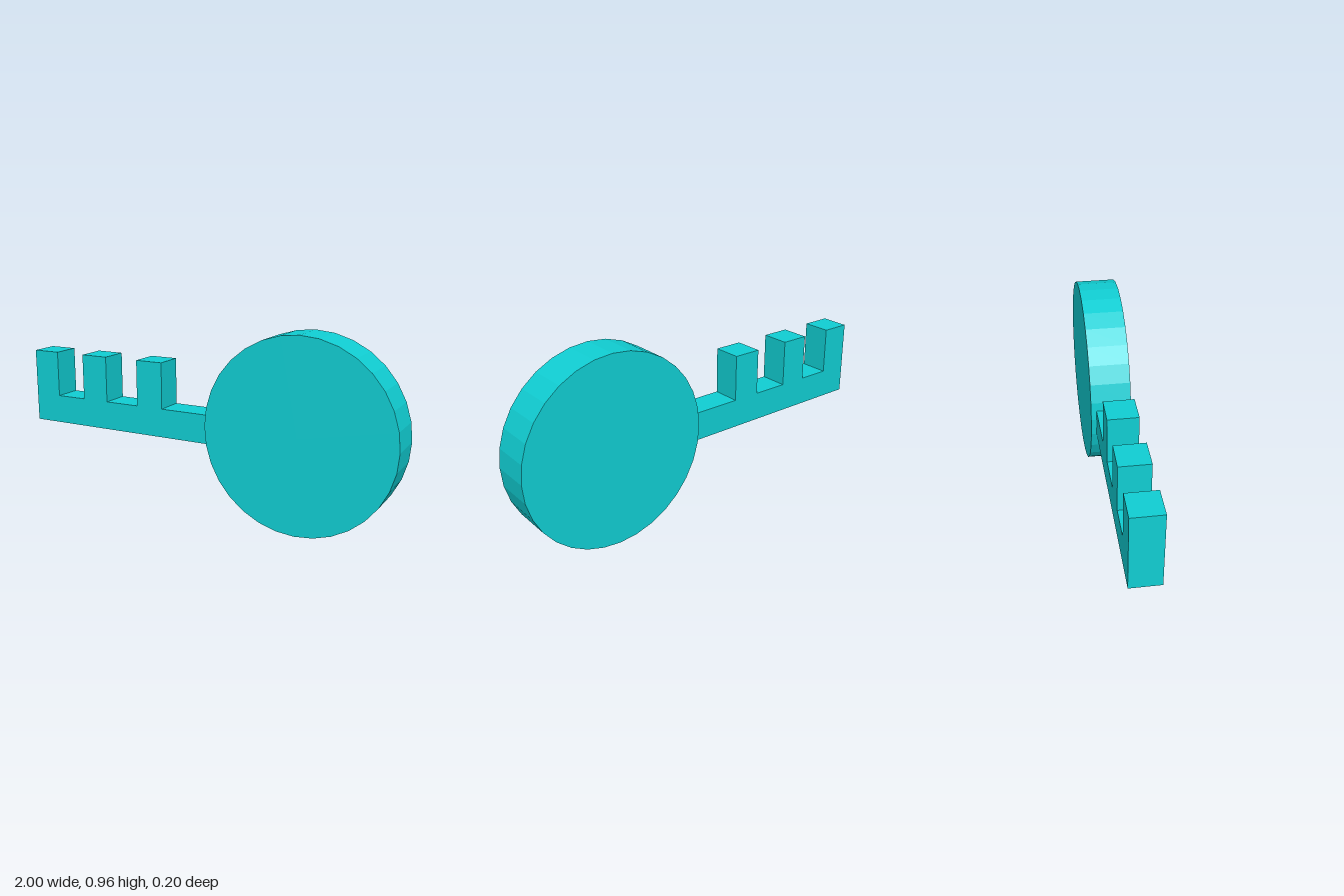
import * as THREE from 'three';

export function createModel() {
  const group = new THREE.Group();
  group.name = 'key';
  const material = new THREE.MeshStandardMaterial({ color: 0x10cdd2, flatShading: true });

  // Round handle: a 32-sided disc facing the front
  const radius = 0.478;
  const handle = new THREE.Mesh(new THREE.CylinderGeometry(radius, radius, 0.2, 32), material);
  handle.name = 'handle';
  handle.rotation.x = Math.PI / 2;
  handle.position.set(1 - radius, radius, 0);
  group.add(handle);

  // Shaft with three square teeth, extruded from one outline
  const bottom = 0.381, top = 0.527, toothTop = 0.762, toothWidth = 0.146, depth = 0.146;
  const shape = new THREE.Shape();
  shape.moveTo(-1, bottom);
  shape.lineTo(0.1, bottom);
  shape.lineTo(0.1, top);
  for (const x of [-0.359, -0.691, -1]) {
    shape.lineTo(x + toothWidth, top);
    shape.lineTo(x + toothWidth, toothTop);
    shape.lineTo(x, toothTop);
    if (x > -1) shape.lineTo(x, top);
  }
  shape.closePath();
  const geometry = new THREE.ExtrudeGeometry(shape, { depth, bevelEnabled: false });
  geometry.translate(0, 0, -depth / 2);
  const shaft = new THREE.Mesh(geometry, material);
  shaft.name = 'toothedShaft';
  group.add(shaft);

  return group;
}
